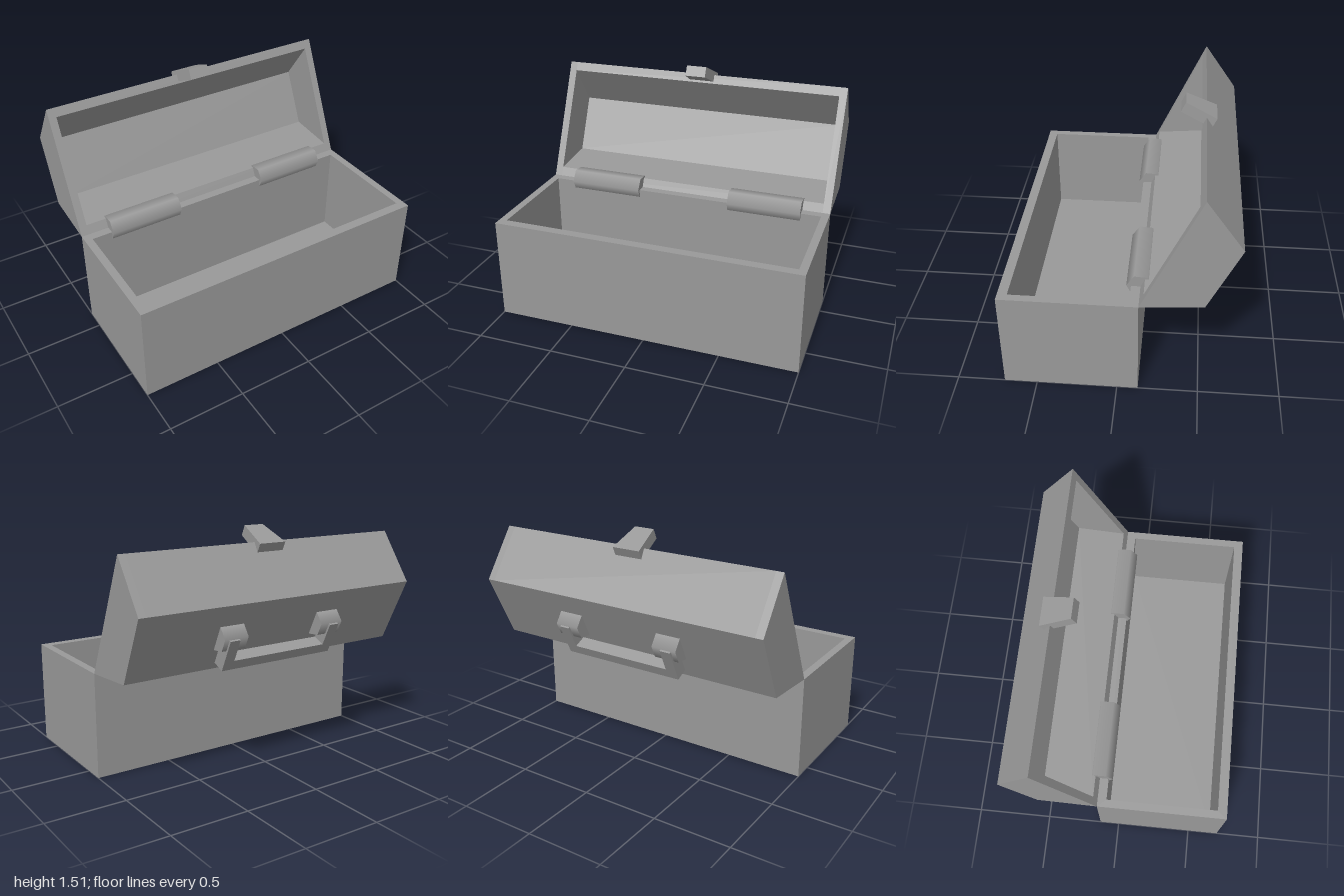
import * as THREE from 'three';

const material = new THREE.MeshStandardMaterial({ color: 0x999999 });
const WALL = 0.05;

function add(parent, name, geometry, x = 0, y = 0, z = 0) {
  const mesh = new THREE.Mesh(geometry, material);
  mesh.name = name;
  mesh.position.set(x, y, z);
  parent.add(mesh);
  return mesh;
}

const shapeOf = (points) => new THREE.Shape(points.map(([a, b]) => new THREE.Vector2(a, b)));

// Extrudes a (z, y) outline along x, centred on x = 0
function extrudeX(points, width) {
  return new THREE.ExtrudeGeometry(shapeOf(points), { depth: width, bevelEnabled: false })
    .translate(0, 0, -width / 2)
    .rotateY(-Math.PI / 2);
}

// Six-sided barrel (or part of one) lying along x
function barrel(radius, width, start, sides) {
  return new THREE.CylinderGeometry(radius, radius, width, sides, 1, false, start, sides * Math.PI / 3)
    .rotateZ(Math.PI / 2);
}

export function createModel() {
  const model = new THREE.Group();
  model.name = 'toolbox';

  // Open box: rim-shaped walls and a floor
  const height = 0.667, back = -0.13, front = 0.705;
  const outline = shapeOf([[-1, -front], [1, -front], [1, -back], [-1, -back]]);
  outline.holes.push(new THREE.Path([[-0.95, -0.645], [-0.95, 0.073], [0.95, 0.073], [0.95, -0.645]]
    .map(([x, y]) => new THREE.Vector2(x, y))));
  add(model, 'boxWalls', new THREE.ExtrudeGeometry(outline, { depth: height, bevelEnabled: false })
    .rotateX(-Math.PI / 2));
  add(model, 'boxFloor', new THREE.BoxGeometry(1.9, WALL, 0.718), 0, WALL / 2, 0.286);

  // Hinges
  for (const side of [-1, 1]) {
    add(model, 'hinge', barrel(0.083, 0.497, THREE.MathUtils.degToRad(4), 6), side * 0.567, 0.666, -0.128);
  }

  // Lid, modelled closed (z forward, y up from the hinge line) and swung open
  const lid = new THREE.Group();
  lid.name = 'lid';
  lid.position.set(0, height, back);
  lid.rotation.x = THREE.MathUtils.degToRad(-115);
  model.add(lid);

  const outer = [[0, 0], [0.832, 0], [0.642, 0.333], [0.187, 0.333]];
  const inner = [[0.062, 0], [0.222, 0.28], [0.612, 0.28], [0.772, 0]];
  add(lid, 'lidShell', extrudeX([outer[0], ...inner, outer[1], outer[2], outer[3]], 1.9));
  for (const side of [-1, 1]) {
    add(lid, 'lidEnd', extrudeX(outer, WALL), side * (1 - WALL / 2));
  }

  // Tapered latch on the front edge of the lid
  add(lid, 'latch', new THREE.ExtrudeGeometry(
    shapeOf([[-0.068, -0.155], [0.068, -0.155], [0.095, 0.06], [-0.095, 0.06]]),
    { depth: 0.07, bevelEnabled: false }), 0, 0, 0.787);

  // Carrying handle: two half-barrel brackets and a U-shaped bail lying flat
  for (const side of [-1, 1]) {
    add(lid, 'handleBracket', barrel(0.083, 0.165, 0, 3), side * 0.36, 0.333, 0.415);
  }
  const bail = shapeOf([[-0.41, -0.233], [0.41, -0.233], [0.41, -0.45], [0.34, -0.45],
    [0.34, -0.298], [-0.34, -0.298], [-0.34, -0.45], [-0.41, -0.45]]);
  add(lid, 'handle', new THREE.ExtrudeGeometry(bail, { depth: 0.083, bevelEnabled: false })
    .rotateX(-Math.PI / 2), 0, 0.335, 0);

  return model;
}
